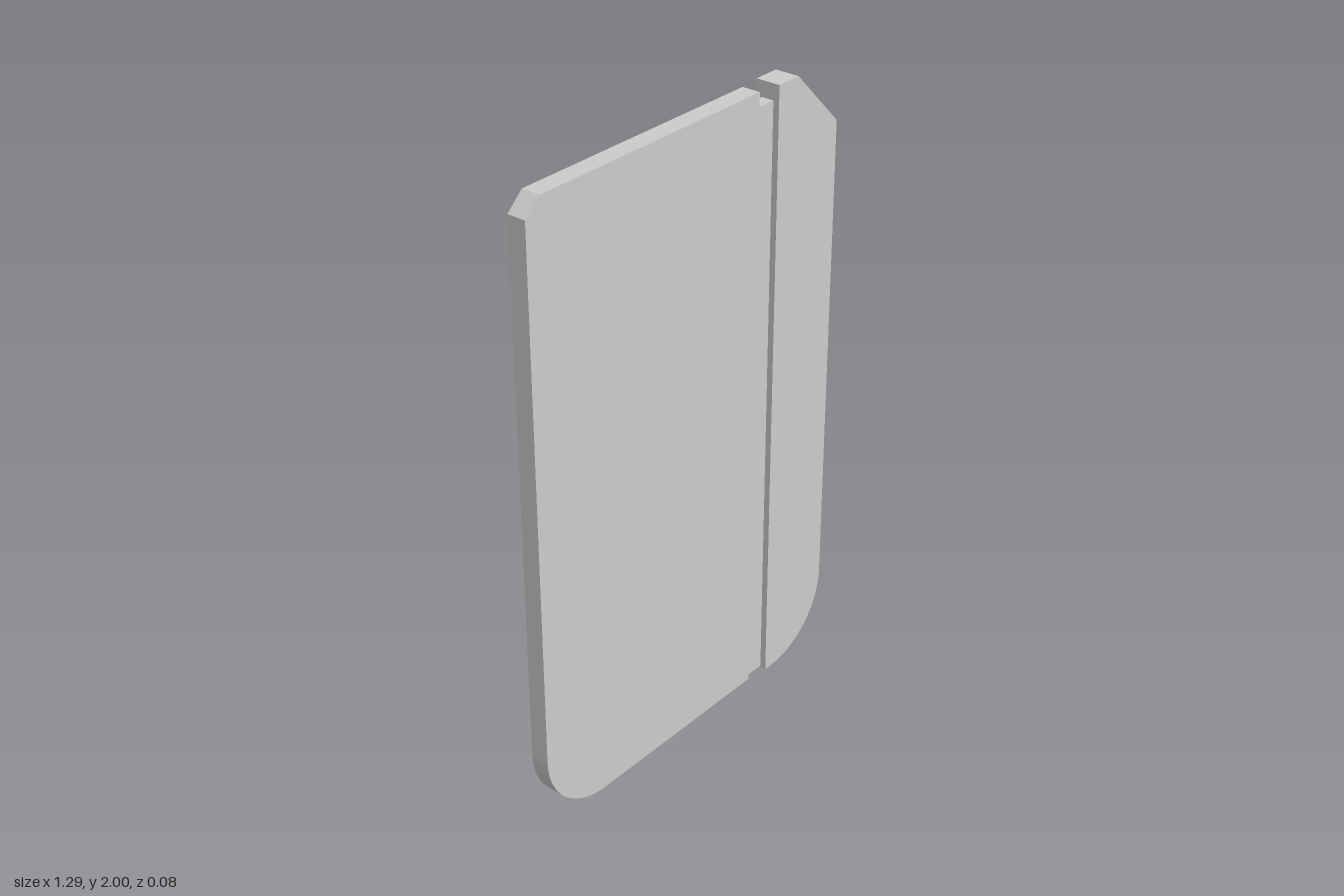
import * as THREE from 'three';

const material = new THREE.MeshStandardMaterial({ color: 0xcccccc });
const HALF = 0.643, TOP = 2, RADIUS = 0.245;

// Extrude an outline to a slab centred on z = 0
function slab(name, shape, depth) {
  const geometry = new THREE.ExtrudeGeometry(shape, { depth, bevelEnabled: false, curveSegments: 24 });
  geometry.translate(0, 0, -depth / 2);
  const mesh = new THREE.Mesh(geometry, material);
  mesh.name = name;
  return mesh;
}

// Outline with a rounded lower outer corner and a chamfered upper outer one
function sideOutline(inner, side, chamferX, chamferY) {
  const outer = side * HALF;
  const shape = new THREE.Shape();
  shape.moveTo(inner, 0);
  shape.lineTo(outer - side * RADIUS, 0);
  shape.absarc(outer - side * RADIUS, RADIUS, RADIUS, -Math.PI / 2, side > 0 ? 0 : -Math.PI, side < 0);
  shape.lineTo(outer, TOP - chamferY);
  shape.lineTo(outer - side * chamferX, TOP);
  shape.lineTo(inner, TOP);
  shape.closePath();
  return shape;
}

export function createModel() {
  const group = new THREE.Group();
  group.name = 'slabPanel';

  // Wide main panel and the thicker side panel
  group.add(slab('mainPanel', sideOutline(0.291, -1, 0.055, 0.05), 0.06));
  group.add(slab('sidePanel', sideOutline(0.366, 1, 0.19, 0.19), 0.08));

  // Thin recessed strip joining the two
  const strip = new THREE.Mesh(new THREE.BoxGeometry(0.075, 1.945, 0.04), material);
  strip.position.set(0.3285, 0.9775, 0);
  strip.name = 'joiningStrip';
  group.add(strip);

  return group;
}
